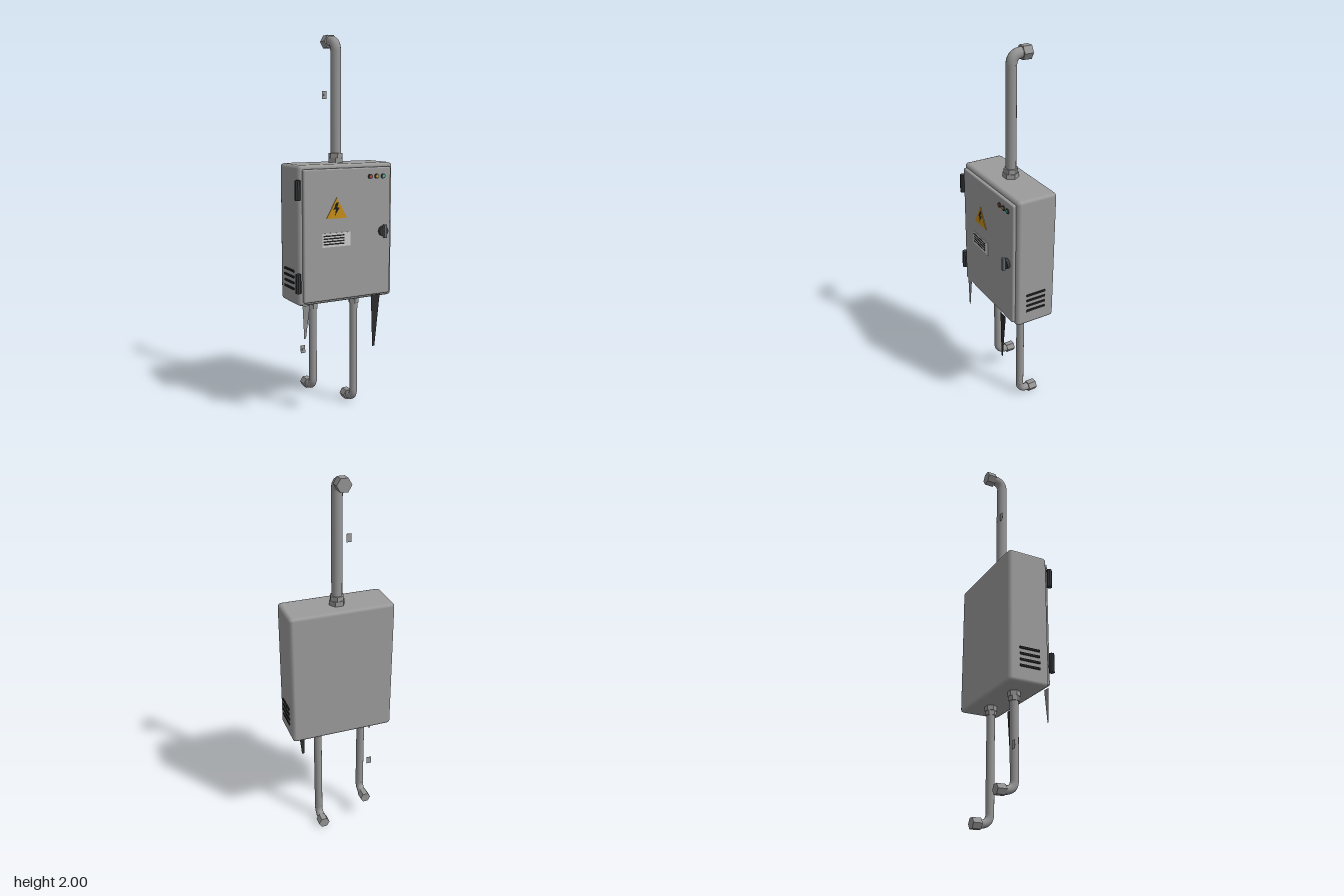
import * as THREE from 'three';
import { RoundedBoxGeometry } from 'three/addons/geometries/RoundedBoxGeometry.js';

const mat = (color, extra = {}) => new THREE.MeshStandardMaterial({ color, ...extra });
const paint = mat(0x9c9c9c);
const pipeGrey = mat(0x959595);
const nutGrey = mat(0x959595, { flatShading: true });
const dark = mat(0x36393d, { flatShading: true });
const black = mat(0x222222);

export function createModel() {
  const root = new THREE.Group();

  const add = (name, geometry, material, x = 0, y = 0, z = 0) => {
    const mesh = new THREE.Mesh(geometry, material);
    mesh.name = name;
    mesh.position.set(x, y, z);
    root.add(mesh);
  };
  const box = (name, w, h, d, material, x, y, z) =>
    add(name, new THREE.BoxGeometry(w, h, d), material, x, y, z);
  // Cylinder whose axis points along z, with a corner on the x axis
  const discZ = (name, r, depth, sides, material, x, y, z) =>
    add(name, new THREE.CylinderGeometry(r, r, depth, sides).rotateY(Math.PI / 2).rotateX(Math.PI / 2),
      material, x, y, z);
  const outline = (points) => new THREE.Shape(points.map(([x, y]) => new THREE.Vector2(x, y)));
  const plate = (name, points, depth, material, z) =>
    add(name, new THREE.ExtrudeGeometry(outline(points), { depth, bevelEnabled: false }), material, 0, 0, z);

  // Cabinet and door
  add('cabinet', new RoundedBoxGeometry(0.555, 0.719, 0.221, 1, 0.018), paint, 0.008, 0.9855, -0.0245);
  add('door', new RoundedBoxGeometry(0.513, 0.68, 0.024, 3, 0.009), paint, 0.008, 0.984, 0.0915);

  // Hinges
  for (const y of [0.75, 1.222]) {
    add('hinge', new THREE.CylinderGeometry(0.0145, 0.0145, 0.1, 8).rotateY(Math.PI / 8), dark, -0.277, y, 0.095);
  }

  // Vent slots on both sides
  for (const x of [-0.27, 0.285]) {
    for (let i = 0; i < 4; i++) {
      box('ventSlot', 0.011, 0.011, 0.11, black, x, 0.71 + i * 0.031, -0.023);
    }
  }

  // Indicator lamps
  [0xb84a3c, 0xc9a03c, 0x4cb896].forEach((color, i) => {
    const x = 0.137 + i * 0.039;
    discZ('lampBezel', 0.0135, 0.005, 16, dark, x, 1.276, 0.1055);
    discZ('lampLens', 0.008, 0.009, 16, mat(color), x, 1.276, 0.106);
  });

  // Turn handle
  discZ('handleBase', 0.027, 0.016, 16, dark, 0.215, 0.985, 0.1115);
  box('handleGrip', 0.015, 0.07, 0.016, mat(0x66696e), 0.215, 0.986, 0.127);

  // Warning sign with bolt
  plate('warningSign', [[-0.122, 1.07], [-0.002, 1.07], [-0.062, 1.176]], 0.004, mat(0xc48c18), 0.1025);
  plate('warningBolt', [
    [-0.063, 1.152], [-0.082, 1.116], [-0.066, 1.118], [-0.073, 1.085],
    [-0.045, 1.126], [-0.061, 1.124], [-0.051, 1.152],
  ], 0.003, black, 0.1045);

  // Rating plate with printed bars
  box('ratingPlate', 0.163, 0.072, 0.003, mat(0xcccccc), -0.0635, 0.96, 0.1045);
  for (let i = 0; i < 4; i++) {
    box('plateBar', 0.122, 0.007, 0.002, black, -0.079, 0.939 + i * 0.0143, 0.106);
  }

  // Conduits: gland, straight run, elbow towards the wall and hex end fitting
  const conduit = (x, yStart, yEnd, r, nutR, endR) => {
    const z = -0.035, bend = 0.05;
    const s = Math.sign(yEnd - yStart);
    const yBend = yEnd - s * bend;
    add('conduitPipe', new THREE.CylinderGeometry(r, r, Math.abs(yBend - yStart), 14), pipeGrey,
      x, (yStart + yBend) / 2, z);
    const curve = new THREE.QuadraticBezierCurve3(
      new THREE.Vector3(x, yBend, z),
      new THREE.Vector3(x, yEnd, z),
      new THREE.Vector3(x, yEnd, z - bend - 0.005));
    add('conduitElbow', new THREE.TubeGeometry(curve, 10, r, 14), pipeGrey);
    discZ('endFitting', endR, 0.048, 6, nutGrey, x, yEnd, -0.111);
    add('glandNut', new THREE.CylinderGeometry(nutR, nutR, 0.026, 6).rotateY(Math.PI / 6), nutGrey,
      x, yStart + s * 0.012, z);
    add('glandCollar', new THREE.CylinderGeometry(nutR * 0.9, nutR * 0.9, 0.024, 6).rotateY(Math.PI / 4), nutGrey,
      x, yStart + s * 0.037, z);
  };
  conduit(0.008, 1.345, 1.9675, 0.0275, 0.042, 0.0375);
  conduit(-0.132, 0.626, 0.14, 0.0215, 0.032, 0.029);
  conduit(0.119, 0.626, 0.027, 0.0215, 0.032, 0.031);

  // Pipe clip tabs with screw heads
  for (const [x, y] of [[-0.043, 1.693], [-0.177, 0.347]]) {
    box('clipTab', 0.026, 0.042, 0.002, paint, x, y, -0.063);
    discZ('clipScrew', 0.006, 0.006, 8, paint, x, y, -0.059);
  }

  // Thin tapered streaks hanging under the cabinet
  const streak = (name, points, color, z) =>
    add(name, new THREE.ShapeGeometry(outline(points)), mat(color, { side: THREE.DoubleSide }), 0, 0, z);
  streak('paleStreak', [[-0.252, 0.63], [-0.244, 0.457], [-0.234, 0.457], [-0.21, 0.63]], 0x8c8c8c, 0.09);
  streak('darkStreak', [[0.145, 0.645], [0.155, 0.361], [0.169, 0.361], [0.2, 0.645]], 0x2c2c2c, 0.105);

  return root;
}
